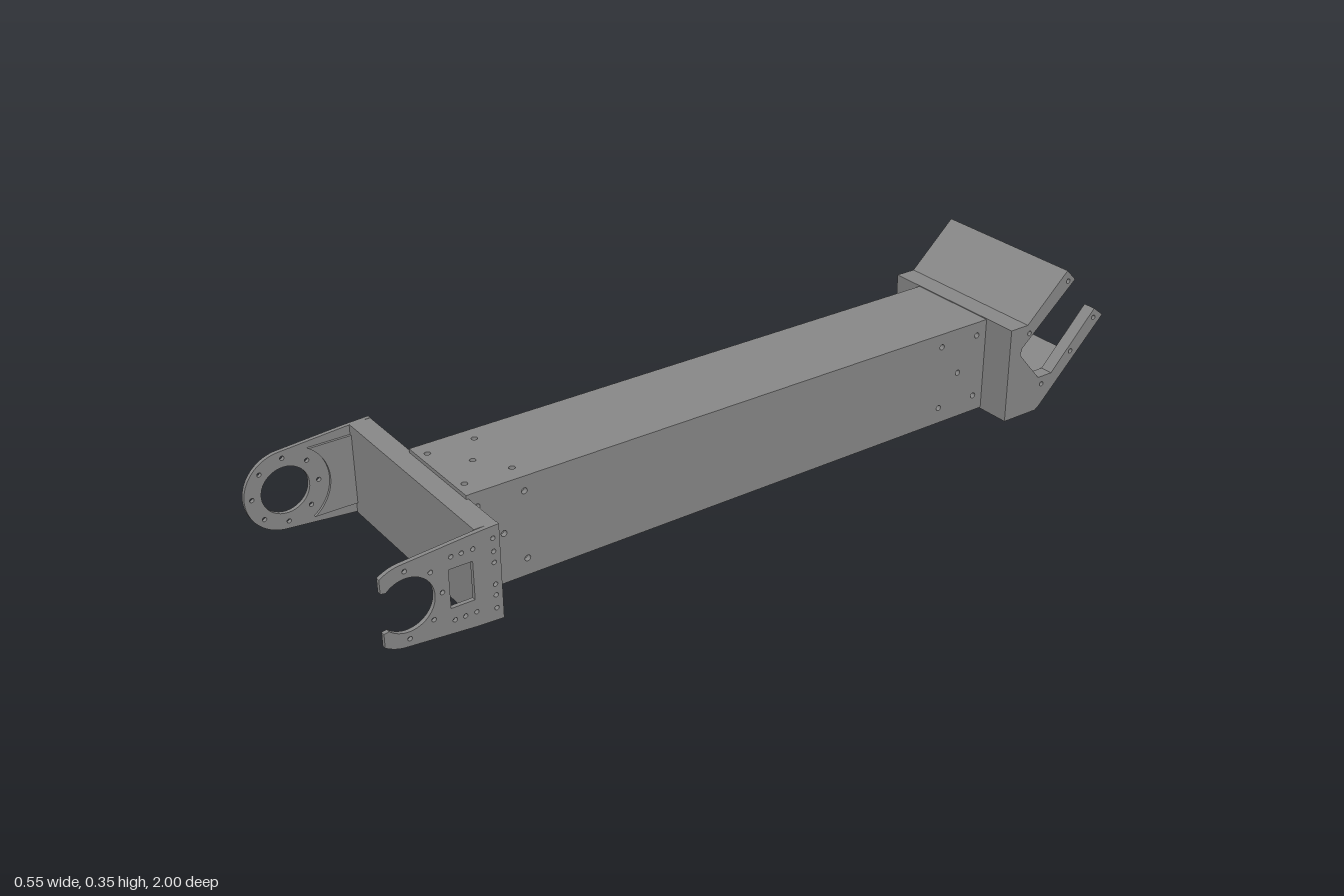
import * as THREE from 'three';

const mat = new THREE.MeshStandardMaterial({ color: 0x888888, flatShading: true, side: THREE.DoubleSide });

function add(group, name, geo) {
  const mesh = new THREE.Mesh(geo, mat);
  mesh.name = name;
  group.add(mesh);
  return mesh;
}

function box(group, name, x0, x1, y0, y1, z0, z1) {
  add(group, name, new THREE.BoxGeometry(x1 - x0, y1 - y0, z1 - z0))
    .position.set((x0 + x1) / 2, (y0 + y1) / 2, (z0 + z1) / 2);
}

const poly = pts => new THREE.Shape(pts.map(p => new THREE.Vector2(...p)));
const rect = (a0, b0, a1, b1) => poly([[a0, b0], [a1, b0], [a1, b1], [a0, b1]]);

function drill(shape, points, r = 0.007) {
  for (const [a, b] of points) shape.holes.push(new THREE.Path().absarc(a, b, r, 0, Math.PI * 2, true));
  return shape;
}

const extrude = (shape, depth, segs) =>
  new THREE.ExtrudeGeometry(shape, { depth, bevelEnabled: false, curveSegments: segs });

// Shape drawn in (z, y), filling x0..x1
function sidePlate(group, name, shape, x0, x1, segs = 8) {
  add(group, name, extrude(shape, x1 - x0, segs).rotateY(-Math.PI / 2).translate(x1, 0, 0));
}

// Shape drawn in (x, z), filling y0..y1
function flatPlate(group, name, shape, y0, y1) {
  add(group, name, extrude(shape, y1 - y0, 8).rotateX(Math.PI / 2).translate(0, y1, 0));
}

// Hollow square beam with bolt holes
function makeBeam() {
  const g = new THREE.Group();
  g.name = 'beam';
  const x0 = -0.08, x1 = 0.157, y0 = 0.003, y1 = 0.236, t = 0.012, zb = -0.7, zf = 0.705;
  const sideHoles = [[0.625, 0.12], [-0.612, 0.12]];
  for (const z of [0.682, 0.573, -0.557, -0.667]) sideHoles.push([z, 0.202], [z, 0.043]);
  const deckHoles = [[0.039, 0.623]];
  for (const z of [0.684, 0.574]) deckHoles.push([-0.04, z], [0.113, z]);
  for (const x of [x0, x1 - t])
    sidePlate(g, 'beamSide', drill(rect(zb, y0, zf, y1), sideHoles), x, x + t);
  flatPlate(g, 'beamTop', drill(rect(x0 + t, zb, x1 - t, zf), deckHoles), y1 - t, y1);
  const bottom = drill(rect(x0 + t, zb, x1 - t, zf), deckHoles);
  bottom.holes.push(rect(-0.015, 0.44, 0.06, 0.52));
  flatPlate(g, 'beamBottom', bottom, y0, y0 + t);
  // Backing strips close the bolt holes from inside
  for (const [za, zc] of [[0.55, 0.7], [-0.58, -0.53], [-0.69, -0.64]])
    for (const x of [x0 + t, x1 - t - 0.004])
      box(g, 'sideBacking', x, x + 0.004, y0 + t, y1 - t, za, zc);
  box(g, 'topBacking', x0 + t, x1 - t, y1 - t - 0.004, y1 - t, 0.55, 0.7);
  return g;
}

// Rounded arm plate: a closed ring, or an open hook with a window
function armShape(open) {
  const cz = 0.907, cy = 0.12, R = 0.093, r = open ? 0.06 : 0.055;
  const a = 0.963, b = Math.PI * 0.46;
  const s = new THREE.Shape();
  s.moveTo(0.7, 0.228).lineTo(0.76, 0.225);
  if (open) {
    s.absarc(cz, cy, R, b, a, true);
    s.lineTo(cz + 0.053, cy + 0.045);
    s.absarc(cz, cy, r, 0.8, Math.PI * 2 - 0.8, false);
    s.lineTo(cz + 0.053, cy - 0.045);
    s.absarc(cz, cy, R, -a, -b, true);
    s.holes.push(rect(0.762, 0.077, 0.815, 0.165));
  } else {
    s.absarc(cz, cy, R, b, -b, true);
    drill(s, [[cz, cy]], r);
  }
  s.lineTo(0.76, 0.014).lineTo(0.7, 0.011);
  // Bolt circle
  const holes = [];
  for (let i = 0; i < 8; i++) {
    const th = i * Math.PI / 4;
    if (!open || Math.cos(th) < 0.5) holes.push([cz + 0.076 * Math.cos(th), cy + 0.076 * Math.sin(th)]);
  }
  // Mounting rows
  for (const y of [0.04, 0.07, 0.095, 0.145, 0.17, 0.2]) holes.push([0.715, y]);
  for (const z of [0.76, 0.785, 0.808]) holes.push([z, 0.048], [z, 0.192]);
  return drill(s, holes, 0.005);
}

// Front fork: cross block, ring arm, hook arm
function makeFork() {
  const g = new THREE.Group();
  g.name = 'frontFork';
  box(g, 'crossBlock', -0.265, 0.265, 0.011, 0.227, 0.7, 0.75);
  sidePlate(g, 'ringArm', armShape(false), -0.275, -0.265, 20);
  sidePlate(g, 'hookArm', armShape(true), 0.265, 0.275, 20);
  // Pad on the ring arm, hollowed around the ring
  const pad = new THREE.Shape();
  pad.moveTo(0.745, 0.037).lineTo(0.85, 0.037);
  pad.absarc(0.907, 0.12, 0.1007, Math.PI + 0.969, Math.PI - 0.969, true);
  pad.lineTo(0.745, 0.203);
  sidePlate(g, 'ringArmPad', pad, -0.265, -0.259, 16);
  return g;
}

// Angled rear jaw: cheeks with prongs, hollow shell between them
function makeJaw() {
  const g = new THREE.Group();
  g.name = 'rearJaw';
  const x0 = -0.161, x1 = 0.241, t = 0.032;
  const cheek = drill(poly([
    [-0.695, 0], [-0.795, 0], [-0.807, 0.008], [-1, 0.198], [-0.97, 0.222], [-0.84, 0.087],
    [-0.797, 0.087], [-0.73, 0.165], [-0.735, 0.182], [-0.893, 0.318], [-0.865, 0.347],
    [-0.747, 0.238], [-0.695, 0.238],
  ]), [[-0.87, 0.319], [-0.755, 0.215], [-0.81, 0.066], [-0.9, 0.128], [-0.97, 0.198]], 0.006);
  for (const x of [x0, x1 - t]) sidePlate(g, 'cheek', cheek, x, x + t);
  const shell = poly([
    [-0.695, 0], [-0.795, 0], [-0.807, 0.008], [-0.912, 0.111], [-0.895, 0.128], [-0.79, 0.025],
    [-0.715, 0.025], [-0.715, 0.19], [-0.88, 0.333], [-0.865, 0.347], [-0.747, 0.238], [-0.695, 0.238],
  ]);
  sidePlate(g, 'shell', shell, x0 + t, x1 - t);
  // Central rib running from the upper wall out along the lower one
  const rib = poly([
    [-0.714, 0.024], [-0.79, 0.024], [-0.912, 0.112], [-0.885, 0.134], [-0.84, 0.087],
    [-0.797, 0.087], [-0.73, 0.165], [-0.735, 0.182], [-0.714, 0.2],
  ]);
  sidePlate(g, 'centreRib', rib, 0.005, 0.07);
  return g;
}

export function createModel() {
  const model = new THREE.Group();
  model.name = 'robotArmLink';
  model.add(makeBeam(), makeFork(), makeJaw());
  return model;
}
